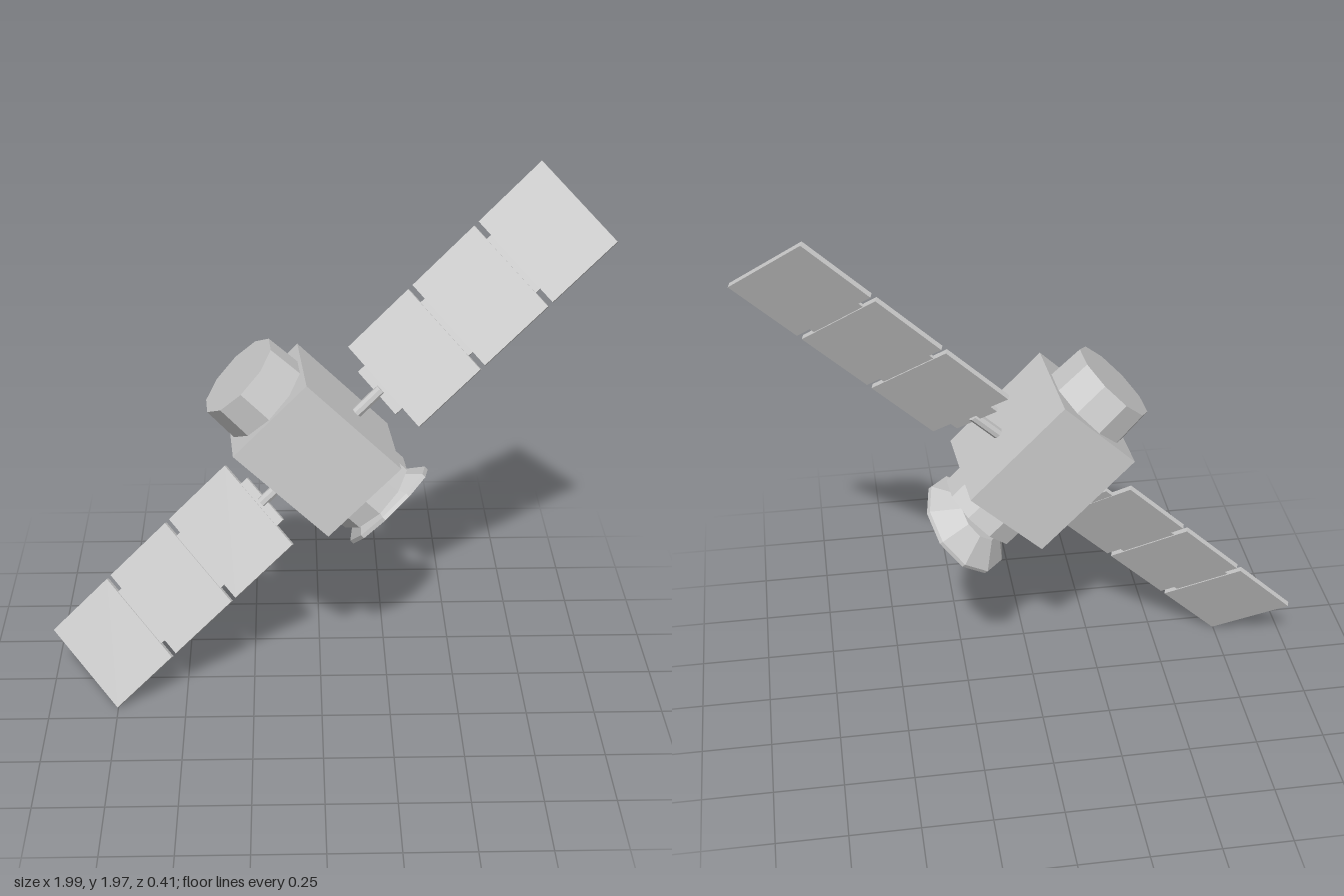
import * as THREE from 'three';

export function createModel() {
  const model = new THREE.Group();
  model.name = 'satellite';
  const material = new THREE.MeshStandardMaterial({ color: 0xcccccc, flatShading: true });

  function add(parent, name, geometry, x = 0, y = 0, z = 0) {
    const mesh = new THREE.Mesh(geometry, material);
    mesh.name = name;
    mesh.position.set(x, y, z);
    parent.add(mesh);
    return mesh;
  }
  const box = (w, h, d) => new THREE.BoxGeometry(w, h, d);
  const cyl = (top, bottom, h, sides = 10) => new THREE.CylinderGeometry(top, bottom, h, sides);

  // Craft frame: x along the wings, -y towards the dish; tilted as a whole
  const craft = new THREE.Group();
  craft.name = 'craft';
  const wingAxis = new THREE.Vector3(0.705, 0.705, -0.077).normalize();
  const up = new THREE.Vector3(-0.707, 0.707, 0.03);
  const depth = new THREE.Vector3().crossVectors(wingAxis, up).normalize();
  up.crossVectors(depth, wingAxis);
  craft.quaternion.setFromRotationMatrix(new THREE.Matrix4().makeBasis(wingAxis, up, depth));
  craft.position.y = 0.99;
  model.add(craft);

  // Main body with a drum at each end
  add(craft, 'body', box(0.357, 0.462, 0.372), 0, 0.04, 0);
  add(craft, 'engineDrum', cyl(0.165, 0.172, 0.14), 0, 0.334, 0);
  add(craft, 'dishMount', cyl(0.163, 0.163, 0.09), 0, -0.227, 0);

  // Dish: conical back, thin rim, flat face, leaning forwards
  const dish = new THREE.Group();
  dish.name = 'dish';
  dish.position.set(0, -0.357, 0);
  dish.rotation.x = -0.32;
  craft.add(dish);
  add(dish, 'dishBack', cyl(0.1, 0.19, 0.07), 0, 0.05, 0);
  add(dish, 'dishRim', cyl(0.19, 0.19, 0.015), 0, 0.0075, 0);

  // Solar wings, both turned about the wing axis
  const panelLength = 0.293, gap = 0.021, start = 0.313;
  for (const side of [1, -1]) {
    const wing = new THREE.Group();
    wing.name = side > 0 ? 'leftWing' : 'rightWing';
    wing.rotation.x = 1.016;
    craft.add(wing);
    const shaft = add(wing, 'shaft', cyl(0.02, 0.02, 0.15, 8), side * 0.225, 0, 0);
    shaft.rotation.z = Math.PI / 2;
    add(wing, 'yoke', box(0.04, 0.014, 0.2), side * 0.3, 0, 0);
    for (let i = 0; i < 3; i++) {
      const inner = start + i * (panelLength + gap);
      add(wing, 'solarPanel', box(panelLength, 0.018, 0.376), side * (inner + panelLength / 2), 0, 0);
      if (i > 0) add(wing, 'hinge', box(gap + 0.01, 0.01, 0.25), side * (inner - gap / 2), 0, 0);
    }
  }
  return model;
}
